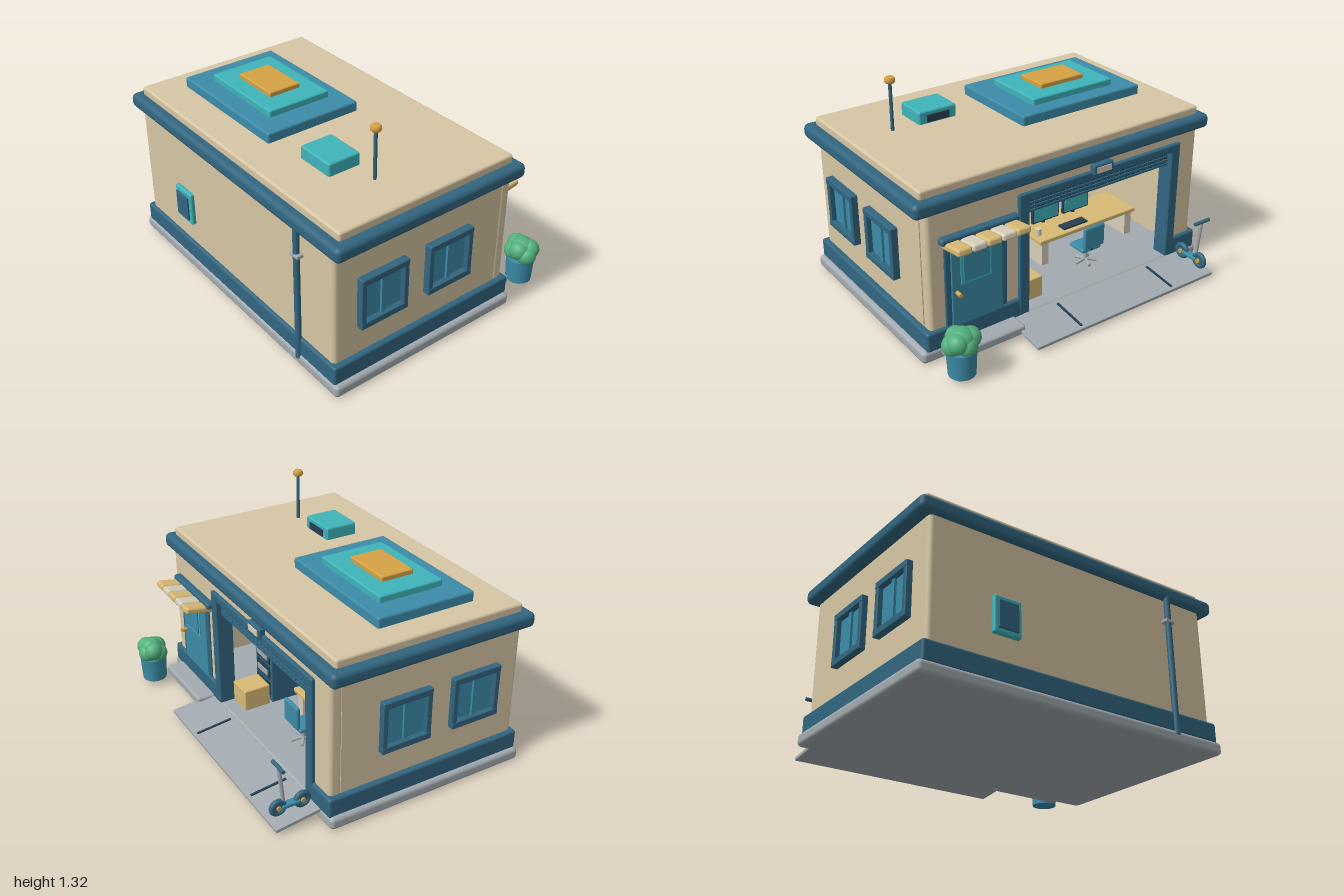
import * as THREE from 'three';
import { RoundedBoxGeometry } from 'three/addons/geometries/RoundedBoxGeometry.js';

function paint(name, color) {
  const m = new THREE.MeshStandardMaterial({ color });
  m.name = name;
  return m;
}

export function createModel() {
  const sand = paint('sand', 0xd6c6a4), navy = paint('navy', 0x326680), blue = paint('blue', 0x3c8ba8);
  const teal = paint('teal', 0x3eb4ba), gold = paint('gold', 0xd6a244), grey = paint('grey', 0xa3abb0);
  const dark = paint('dark', 0x263f52), green = paint('green', 0x52b07c), tan = paint('tan', 0xd8ba74);
  const cream = paint('cream', 0xd8cfba);

  const model = new THREE.Group();
  model.name = 'garageOffice';

  const group = (name, parent = model) => {
    const g = new THREE.Group();
    g.name = name;
    parent.add(g);
    return g;
  };
  const add = (parent, name, geo, mat, x = 0, y = 0, z = 0) => {
    const m = new THREE.Mesh(geo, mat);
    m.name = name;
    m.position.set(x, y, z);
    parent.add(m);
    return m;
  };
  // Box given by its extents, with optional rounded edges
  const box = (parent, name, mat, x0, x1, y0, y1, z0, z1, r = 0) => {
    const w = x1 - x0, h = y1 - y0, d = z1 - z0;
    const geo = r ? new RoundedBoxGeometry(w, h, d, 2, Math.min(r, w / 2.1, h / 2.1, d / 2.1)) : new THREE.BoxGeometry(w, h, d);
    return add(parent, name, geo, mat, (x0 + x1) / 2, (y0 + y1) / 2, (z0 + z1) / 2);
  };
  const rod = (parent, name, mat, a, b, r, rEnd = r) => {
    const p = new THREE.Vector3(...a), q = new THREE.Vector3(...b), d = q.clone().sub(p);
    const m = add(parent, name, new THREE.CylinderGeometry(rEnd, r, d.length(), 16), mat);
    m.position.copy(p).add(q).multiplyScalar(0.5);
    m.quaternion.setFromUnitVectors(new THREE.Vector3(0, 1, 0), d.normalize());
    return m;
  };

  // Foundation and walls
  box(model, 'foundation', grey, -0.985, 0.985, 0.005, 0.08, -0.487, 0.765, 0.025);
  const walls = group('walls');
  box(walls, 'frontWall', sand, -0.93, 0.925, 0.07, 0.9, 0.665, 0.737, 0.025);
  for (const [a, b] of [[-0.93, -0.865], [0.86, 0.925]]) box(walls, 'sideWall', sand, a, b, 0.07, 0.9, -0.4, 0.71);
  box(walls, 'backWallDoorSide', sand, 0.33, 0.925, 0.07, 0.9, -0.468, -0.39, 0.025);
  box(walls, 'backWallEnd', sand, -0.93, -0.74, 0.07, 0.9, -0.468, -0.39, 0.025);
  box(walls, 'backWallHeader', sand, -0.76, 0.35, 0.8, 0.9, -0.468, -0.39);

  // Plinth, left open at the garage entrance
  const plinth = group('plinth');
  box(plinth, 'plinthFront', navy, -0.96, 0.957, 0.07, 0.188, 0.62, 0.757, 0.015);
  for (const [a, b] of [[-0.96, -0.87], [0.87, 0.957]]) box(plinth, 'plinthSide', navy, a, b, 0.07, 0.188, -0.48, 0.72, 0.015);
  box(plinth, 'plinthDoorSide', navy, 0.33, 0.957, 0.07, 0.188, -0.487, -0.4, 0.015);
  box(plinth, 'plinthEnd', navy, -0.96, -0.74, 0.07, 0.188, -0.487, -0.4, 0.015);

  // Roof with stepped skylight
  const roof = group('roof');
  box(roof, 'roofTrim', navy, -1, 1, 0.87, 0.957, -0.497, 0.773, 0.03);
  box(roof, 'roofSlab', sand, -0.945, 0.942, 0.945, 1.005, -0.447, 0.717, 0.015);
  box(roof, 'skylightBase', blue, -0.79, 0.063, 0.99, 1.064, -0.1, 0.51, 0.012);
  box(roof, 'skylightMiddle', teal, -0.655, -0.078, 1.05, 1.104, -0.005, 0.4, 0.01);
  box(roof, 'skylightTop', gold, -0.52, -0.21, 1.09, 1.132, 0.1, 0.305, 0.008);
  box(roof, 'roofUnit', teal, 0.28, 0.525, 0.99, 1.08, 0.253, 0.457, 0.012);
  box(roof, 'roofUnitVent', dark, 0.33, 0.475, 1.012, 1.055, 0.246, 0.26);
  rod(roof, 'antennaPole', navy, [0.678, 1, 0.283], [0.678, 1.3, 0.283], 0.01);
  const cap = add(roof, 'antennaCap', new RoundedBoxGeometry(0.06, 0.034, 0.06, 3, 0.016), gold, 0.678, 1.302, 0.283);
  cap.geometry = new THREE.LatheGeometry([[0, -0.018], [0.022, -0.018], [0.03, -0.009], [0.03, 0.009], [0.022, 0.018], [0, 0.018]].map(p => new THREE.Vector2(...p)), 20);

  // Side windows, mirrored
  for (const s of [-1, 1]) for (const z of [-0.015, 0.435]) {
    const w = group('sideWindow');
    const f = (name, mat, depth, y0, y1, z0, z1, r) => {
      const a = s * 0.915, b = s * depth;
      box(w, name, mat, Math.min(a, b), Math.max(a, b), y0, y1, z + z0, z + z1, r);
    };
    f('windowPane', blue, 0.936, 0.39, 0.645, -0.13, 0.13);
    f('windowMullion', blue, 0.95, 0.4, 0.635, -0.014, 0.014);
    for (const k of [-1, 1]) f('windowJamb', navy, 0.966, 0.365, 0.672, k * 0.139 - 0.016, k * 0.139 + 0.016, 0.006);
    f('windowSill', navy, 0.968, 0.362, 0.402, -0.155, 0.155, 0.006);
    f('windowHead', navy, 0.968, 0.635, 0.675, -0.155, 0.155, 0.006);
  }

  // Front wall hatch and drainpipe
  box(model, 'hatchFrame', teal, -0.562, -0.393, 0.325, 0.535, 0.73, 0.763, 0.012);
  box(model, 'hatchPanel', navy, -0.54, -0.418, 0.352, 0.506, 0.75, 0.774, 0.004);
  rod(model, 'drainpipe', navy, [0.646, 0.055, 0.756], [0.646, 0.89, 0.756], 0.018);
  box(model, 'drainpipeBracket', grey, 0.613, 0.68, 0.718, 0.742, 0.73, 0.776, 0.008);

  // Back entrance: door, awning, step
  const entry = group('entrance');
  box(entry, 'doorFrame', navy, 0.44, 0.83, 0.09, 0.69, -0.478, -0.45, 0.008);
  box(entry, 'door', blue, 0.475, 0.795, 0.09, 0.665, -0.485, -0.45, 0.006);
  box(entry, 'doorPanel', teal, 0.55, 0.74, 0.42, 0.64, -0.49, -0.48);
  box(entry, 'doorPanelInset', blue, 0.565, 0.725, 0.435, 0.625, -0.496, -0.488);
  rod(entry, 'doorHandle', gold, [0.765, 0.38, -0.48], [0.765, 0.38, -0.525], 0.012);
  box(entry, 'awningRail', navy, 0.375, 0.86, 0.69, 0.73, -0.51, -0.45, 0.015);
  for (let i = 0; i < 5; i++) {
    const slat = box(entry, 'awningSlat', i % 2 ? cream : tan, 0.392 + i * 0.0905, 0.48 + i * 0.0905, 0.671, 0.713, -0.635, -0.455, 0.015);
    slat.rotation.x = 0.16;
  }
  box(entry, 'doorStep', grey, 0.4, 0.875, 0.035, 0.09, -0.595, -0.46, 0.015);

  // Garage opening with rolled-up door and sloping ramp
  const garage = group('garage');
  for (const [a, b] of [[-0.785, -0.72], [0.3, 0.365]]) box(garage, 'garagePost', navy, a, b, 0.08, 0.825, -0.49, -0.385, 0.008);
  box(garage, 'garageLintel', navy, -0.785, 0.365, 0.775, 0.825, -0.49, -0.385, 0.008);
  box(garage, 'rolledDoor', dark, -0.72, 0.3, 0.69, 0.78, -0.45, -0.41);
  for (let i = 0; i < 4; i++) box(garage, 'rolledDoorSlat', navy, -0.72, 0.3, 0.69 + i * 0.023, 0.701 + i * 0.023, -0.46, -0.4);
  for (let i = 0; i < 24; i++) box(garage, 'rolledDoorBar', navy, -0.7 + i * 0.0425, -0.69 + i * 0.0425, 0.69, 0.78, -0.457, -0.45);
  box(garage, 'lampHousing', navy, -0.265, -0.125, 0.8, 0.865, -0.504, -0.45, 0.01);
  box(garage, 'lampFace', cream, -0.245, -0.145, 0.815, 0.85, -0.509, -0.5);
  const ramp = group('ramp', garage);
  ramp.position.set(0, 0.05, -0.615);
  ramp.rotation.x = -0.12;
  box(ramp, 'rampPlate', grey, -0.868, 0.432, -0.01, 0.012, -0.135, 0.135, 0.004);
  for (const x of [-0.552, 0.122]) box(ramp, 'rampStrip', dark, x - 0.007, x + 0.007, 0.01, 0.018, -0.115, 0.105);

  // Interior: drawer cabinet and crate
  const inside = group('interior');
  box(inside, 'cabinet', navy, 0.145, 0.345, 0.08, 0.58, -0.215, 0.02, 0.008);
  for (let i = 0; i < 4; i++) {
    box(inside, 'cabinetDrawer', dark, 0.165, 0.325, 0.13 + i * 0.105, 0.215 + i * 0.105, -0.221, -0.21);
    box(inside, 'drawerLabel', grey, 0.185, 0.305, 0.15 + i * 0.105, 0.185 + i * 0.105, -0.227, -0.22);
  }
  box(inside, 'crate', tan, 0.145, 0.3, 0.08, 0.215, -0.4, -0.23, 0.008);

  // Desk with two screens
  const desk = group('desk', inside);
  box(desk, 'deskTop', tan, -0.76, -0.02, 0.235, 0.262, -0.16, 0.12, 0.006);
  for (const x of [-0.72, -0.07]) box(desk, 'deskLeg', cream, x - 0.025, x + 0.025, 0.08, 0.24, -0.14, 0.1);
  for (const x of [-0.18, -0.41]) {
    box(desk, 'monitor', dark, x - 0.1, x + 0.1, 0.285, 0.425, 0, 0.022, 0.006);
    box(desk, 'monitorScreen', teal, x - 0.088, x + 0.088, 0.298, 0.412, -0.006, 0.002);
    rod(desk, 'monitorStand', dark, [x, 0.26, 0.03], [x, 0.35, 0.03], 0.012);
  }
  box(desk, 'keyboard', dark, -0.4, -0.22, 0.262, 0.272, -0.13, -0.07);
  rod(desk, 'mug', cream, [-0.06, 0.26, -0.08], [-0.06, 0.305, -0.08], 0.02);
  rod(desk, 'lampPole', dark, [-0.04, 0.26, 0.06], [-0.04, 0.38, 0.06], 0.007);
  box(desk, 'lampShade', gold, -0.075, 0.005, 0.375, 0.4, 0.0, 0.08, 0.008);

  // Office chair
  const chair = group('chair', inside);
  const cx = -0.29, cz = -0.25;
  box(chair, 'chairSeat', blue, cx - 0.07, cx + 0.07, 0.18, 0.205, cz - 0.06, cz + 0.07, 0.01);
  box(chair, 'chairBack', blue, cx - 0.075, cx + 0.075, 0.215, 0.36, cz - 0.085, cz - 0.06, 0.012);
  rod(chair, 'chairSpine', dark, [cx, 0.19, cz - 0.055], [cx, 0.3, cz - 0.06], 0.01);
  rod(chair, 'chairStem', grey, [cx, 0.09, cz], [cx, 0.185, cz], 0.013);
  for (let i = 0; i < 5; i++) {
    const a = i * Math.PI * 0.4;
    rod(chair, 'chairFoot', grey, [cx, 0.105, cz], [cx + 0.07 * Math.cos(a), 0.09, cz + 0.07 * Math.sin(a)], 0.01);
  }

  // Kick scooter on the ramp
  const scooter = group('scooter');
  const sx = -0.8;
  for (const z of [-0.555, -0.7]) {
    add(scooter, 'scooterWheel', new THREE.TorusGeometry(0.037, 0.015, 10, 24), navy, sx, 0.128, z).rotation.y = Math.PI / 2;
    rod(scooter, 'wheelDisc', navy, [sx - 0.01, 0.128, z], [sx + 0.01, 0.128, z], 0.036);
    rod(scooter, 'wheelHub', gold, [sx - 0.02, 0.128, z], [sx + 0.02, 0.128, z], 0.014);
  }
  box(scooter, 'scooterDeck', blue, sx - 0.022, sx + 0.022, 0.115, 0.14, -0.68, -0.57, 0.008);
  rod(scooter, 'scooterPost', grey, [sx, 0.13, -0.665], [sx, 0.385, -0.692], 0.011);
  rod(scooter, 'scooterHandlebar', navy, [sx - 0.057, 0.385, -0.694], [sx + 0.057, 0.385, -0.694], 0.011);

  // Potted shrub
  const plant = group('plant');
  const px = 0.872, pz = -0.684;
  rod(plant, 'pot', blue, [px, 0.04, pz], [px, 0.19, pz], 0.075, 0.083);
  const leaf = (x, y, z, r) => add(plant, 'foliage', new THREE.SphereGeometry(r, 20, 14), green, px + x, y, pz + z);
  leaf(0, 0.245, -0.005, 0.074);
  for (let i = 0; i < 6; i++) {
    const a = i * Math.PI / 3 + 0.3;
    leaf(0.05 * Math.cos(a), 0.225 + (i % 2) * 0.025, -0.003 + 0.035 * Math.sin(a), 0.058);
  }
  return model;
}
